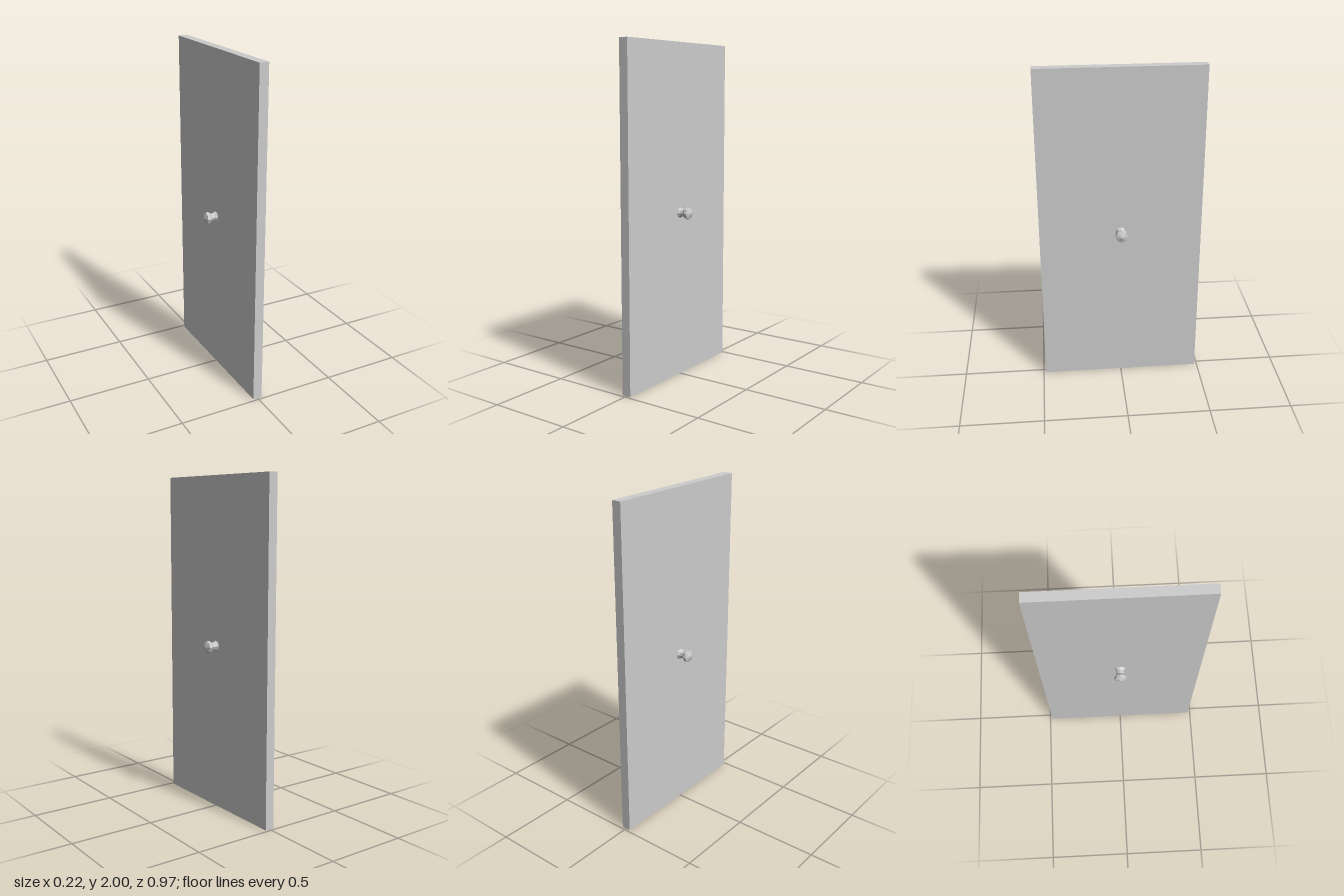
import * as THREE from 'three';

export function createModel() {
  const model = new THREE.Group();
  model.name = 'door';
  const grey = new THREE.MeshStandardMaterial({ color: 0xcccccc, flatShading: true });
  grey.name = 'light grey';

  // Plain upright slab
  const panel = new THREE.Mesh(new THREE.BoxGeometry(0.056, 2, 0.97), grey);
  panel.name = 'doorPanel';
  panel.position.y = 1;
  model.add(panel);

  // Turned knob: flared base, narrow neck, faceted head with a pointed cap
  const profile = [
    [0.033, 0.026], [0.023, 0.044], [0.023, 0.062],
    [0.036, 0.079], [0.036, 0.095], [0, 0.108],
  ].map(([radius, along]) => new THREE.Vector2(radius, along));
  const knobGeometry = new THREE.LatheGeometry(profile, 8);

  // One knob on each face of the panel
  for (const side of [1, -1]) {
    const knob = new THREE.Mesh(knobGeometry, grey);
    knob.name = side > 0 ? 'leftKnob' : 'rightKnob';
    knob.position.y = 1;
    knob.rotation.z = -side * Math.PI / 2;
    model.add(knob);
  }
  return model;
}
